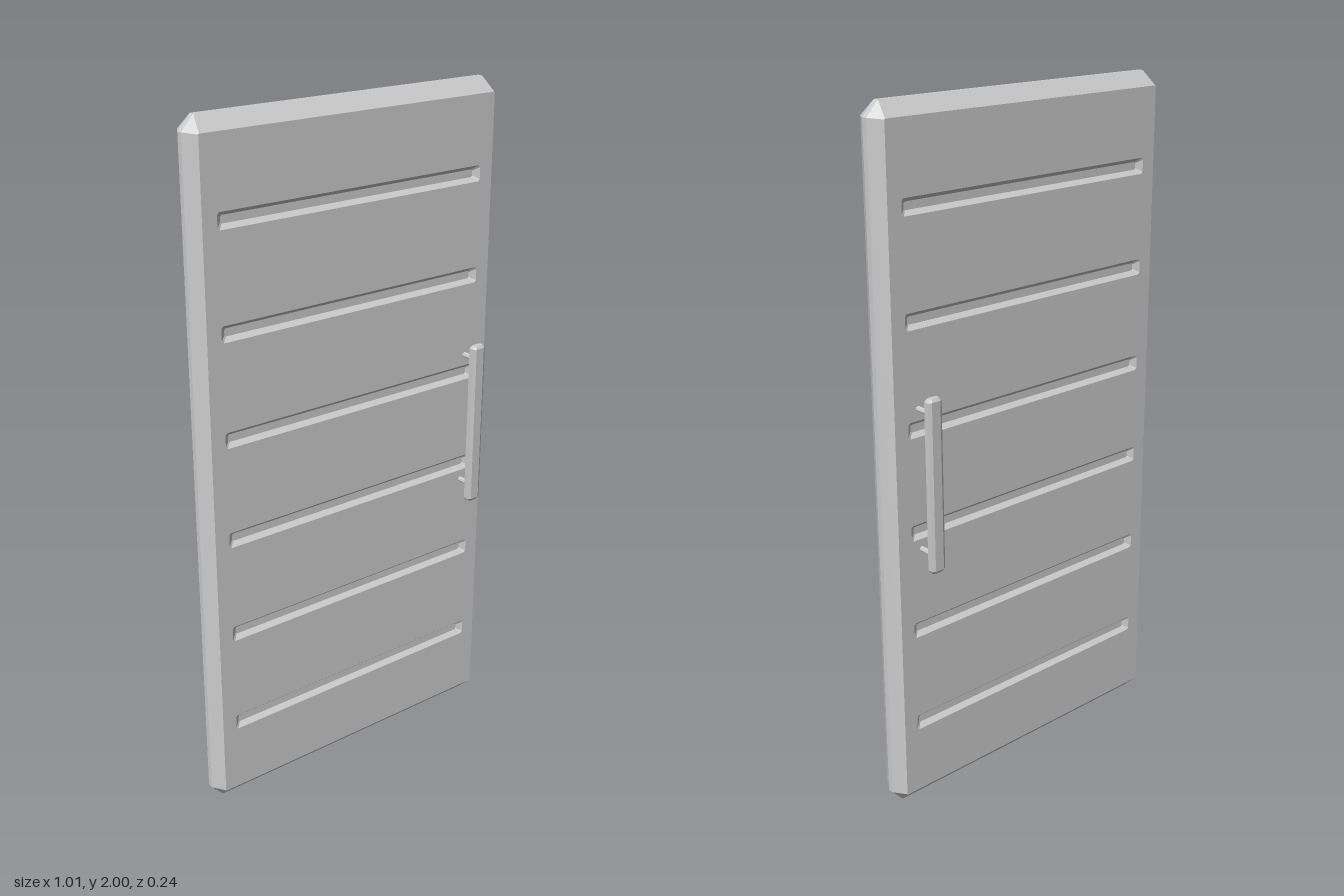
import * as THREE from 'three';

const material = new THREE.MeshStandardMaterial({ color: 0xcccccc, flatShading: true });

function addMesh(parent, geometry, name, x = 0, y = 0, z = 0) {
  const mesh = new THREE.Mesh(geometry, material);
  mesh.name = name;
  mesh.position.set(x, y, z);
  parent.add(mesh);
  return mesh;
}

// Counter-clockwise loop of eight points: a box with its corners cut by (cx, cy)
const cutBox = (w, h, cx, cy, y = 0) => [
  [w, y - h + cy], [w, y + h - cy], [w - cx, y + h], [cx - w, y + h],
  [-w, y + h - cy], [-w, y - h + cy], [cx - w, y - h], [w - cx, y - h],
];

// Skin between successive loops, each given as [points, z]; optional flat end cap
function loft(loops, cap) {
  const pos = [];
  const put = ([p, z], i) => pos.push(...p[i % p.length], z);
  for (let k = 0; k + 1 < loops.length; k++) {
    const a = loops[k], b = loops[k + 1];
    for (let i = 0; i < a[0].length; i++) {
      put(a, i); put(a, i + 1); put(b, i + 1);
      put(a, i); put(b, i + 1); put(b, i);
    }
  }
  if (cap) {
    const end = loops[loops.length - 1];
    for (let i = 1; i + 1 < end[0].length; i++) {
      put(end, 0); put(end, i); put(end, i + 1);
    }
  }
  const g = new THREE.BufferGeometry();
  g.setAttribute('position', new THREE.Float32BufferAttribute(pos, 3));
  g.computeVertexNormals();
  return g;
}

const toVectors = (points) => points.map(([x, y]) => new THREE.Vector2(x, y));

// One half of the door leaf: bevelled rim, face with slots, recessed grooves
function createHalf(name) {
  const half = new THREE.Group();
  half.name = name;
  const depth = 0.048, mid = 1;
  const rim = cutBox(0.505, 1, 0.037, 0.04, mid);
  const edge = cutBox(0.481, 0.96, 0.002, 0.002, mid);
  addMesh(half, loft([[rim, 0], [rim, 0.008], [edge, depth]]), 'bevelledRim');

  const face = new THREE.Shape(toVectors(edge));
  for (let i = 0; i < 6; i++) {
    const y = 0.262 + i * 0.2955;
    const opening = cutBox(0.437, 0.023, 0.006, 0.006, y);
    const floor = cutBox(0.42, 0.011, 0.004, 0.004, y);
    face.holes.push(new THREE.Path(toVectors(opening)));
    addMesh(half, loft([[opening, depth], [floor, depth - 0.014]], true), 'groove');
  }
  addMesh(half, new THREE.ShapeGeometry(face), 'doorFace', 0, 0, depth);
  return half;
}

// Upright pull bar with an eight-sided section and two posts
function createHandle(name, side) {
  const handle = new THREE.Group();
  handle.name = name;
  const outer = cutBox(0.023, 0.0135, 0.009, 0.006);
  const inner = cutBox(0.016, 0.008, 0.006, 0.003);
  const bar = loft([[[[0, 0]].concat(Array(7).fill([0, 0])), -0.249], [inner, -0.249],
    [outer, -0.241], [outer, 0.241], [inner, 0.249]], true);
  bar.rotateX(-Math.PI / 2);
  addMesh(handle, bar, 'pullBar', 0.402, 1.002, side * 0.106);
  for (const y of [0.8, 1.205]) {
    const post = new THREE.CylinderGeometry(0.0085, 0.0085, 0.068, 8);
    post.rotateX(Math.PI / 2);
    addMesh(handle, post, 'handlePost', 0.403, y, side * 0.07);
  }
  return handle;
}

export function createModel() {
  const door = new THREE.Group();
  door.name = 'door';

  // Door leaf, the same on both sides
  const leaf = new THREE.Group();
  leaf.name = 'doorLeaf';
  const back = createHalf('backHalf');
  back.rotation.y = Math.PI;
  leaf.add(createHalf('frontHalf'), back);
  leaf.position.z = 0.003;
  door.add(leaf);

  door.add(createHandle('frontHandle', 1), createHandle('backHandle', -1));
  return door;
}
